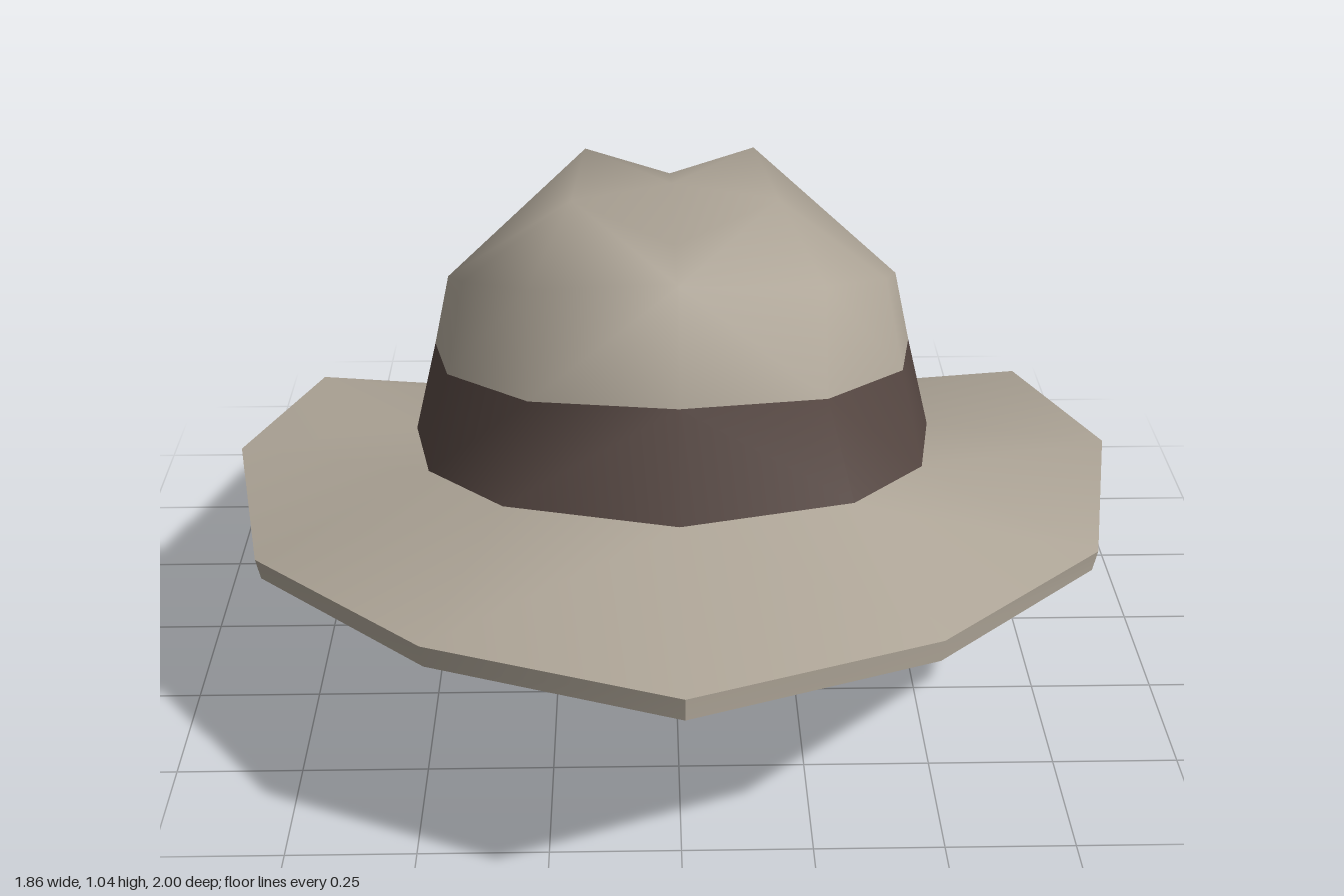
import * as THREE from 'three';
import { toCreasedNormals } from 'three/addons/utils/BufferGeometryUtils.js';

// Half outlines run from the front centre to the back centre on the +x side.
const brimEdge = [[0, 0.545, 1], [0.46, 0.515, 0.8], [0.82, 0.43, 0.39], [0.93, 0.395, -0.1],
  [0.83, 0.285, -0.63], [0.48, 0.11, -0.9], [0, 0.04, -1]];
const bandBottom = [[0, 0.6, 0.555], [0.33, 0.59, 0.46], [0.5, 0.49, 0.16], [0.565, 0.375, -0.22],
  [0.42, 0.245, -0.6], [0, 0.21, -0.77]];
const bandTop = [[0, 0.8, 0.47], [0.28, 0.775, 0.39], [0.455, 0.69, 0.12], [0.515, 0.575, -0.24],
  [0.412, 0.44, -0.61], [0, 0.4, -0.79]];
const shoulder = [[0, 1.01, 0.39], [0.28, 0.955, 0.285], [0.425, 0.845, 0.02], [0.48, 0.73, -0.25],
  [0.4, 0.63, -0.625], [0, 0.6, -0.815]];

// Triangles between a lower (or outer) outline and an upper (or inner) one.
function stitch(a, b) {
  const tris = [];
  let i = 0, j = 0;
  const n = a.length - 1, m = b.length - 1;
  while (i < n || j < m) {
    const stepA = j === m || (i < n && (i + 0.5) / n <= (j + 0.5) / m);
    if (stepA) {
      tris.push([a[i], a[i + 1], b[j]]);
      i++;
    } else {
      tris.push([a[i], b[j + 1], b[j]]);
      j++;
    }
  }
  return tris;
}

// Mirrors the half surface across x = 0 and softens all but the sharp edges.
function mirroredMesh(name, tris, material, crease) {
  const pos = [];
  for (const [a, b, c] of tris) {
    pos.push(...a, ...b, ...c);
    for (const p of [a, c, b]) pos.push(p[0] === 0 ? 0 : -p[0], p[1], p[2]);
  }
  const geometry = new THREE.BufferGeometry();
  geometry.setAttribute('position', new THREE.Float32BufferAttribute(pos, 3));
  const mesh = new THREE.Mesh(toCreasedNormals(geometry, crease), material);
  mesh.name = name;
  return mesh;
}

export function createModel() {
  const felt = new THREE.MeshStandardMaterial({ color: 0xb0a799 });
  felt.name = 'tan felt';
  const ribbon = new THREE.MeshStandardMaterial({ color: 0x574843 });
  ribbon.name = 'brown ribbon';

  const hat = new THREE.Group();
  hat.name = 'hat';

  // Brim: top surface, thin rim, and a closed underside with a sloping centre
  const rimBottom = brimEdge.map(([x, y, z]) => [x * 0.99, y - 0.043, z < -0.5 ? z + 0.025 : z]);
  rimBottom[6][1] = 0;
  const underRing = bandBottom.map(([x, , z]) => [x, 0.27 + 0.23 * z * 0.9, z * 0.9]);
  hat.add(mirroredMesh('brim', [
    ...stitch(brimEdge, bandBottom),
    ...stitch(rimBottom, brimEdge),
    ...stitch(underRing, rimBottom),
    ...stitch([[0, 0.27, 0]], underRing),
  ], felt, 0.8));

  // Ribbon band around the foot of the crown
  hat.add(mirroredMesh('band', stitch(bandBottom, bandTop), ribbon, 1.3));

  // Crown: side wall, then two soft ridges with a shallow valley between them
  const [f, a, b, c, d, e] = shoulder;
  const ridgeFront = [0.2, 1.045, 0.08], ridgeBack = [0.19, 0.88, -0.6];
  const dip = [0, 0.935, 0.05], floor = [0, 0.915, -0.31], floorBack = [0, 0.835, -0.56];
  hat.add(mirroredMesh('crown', [
    ...stitch(bandTop, shoulder),
    [f, a, ridgeFront], [a, b, ridgeFront], [b, c, ridgeFront],
    [c, ridgeBack, ridgeFront], [c, d, ridgeBack], [d, e, ridgeBack],
    [f, ridgeFront, dip], [ridgeFront, floor, dip], [ridgeFront, ridgeBack, floor],
    [ridgeBack, floorBack, floor], [ridgeBack, e, floorBack],
  ], felt, Math.PI));

  return hat;
}
